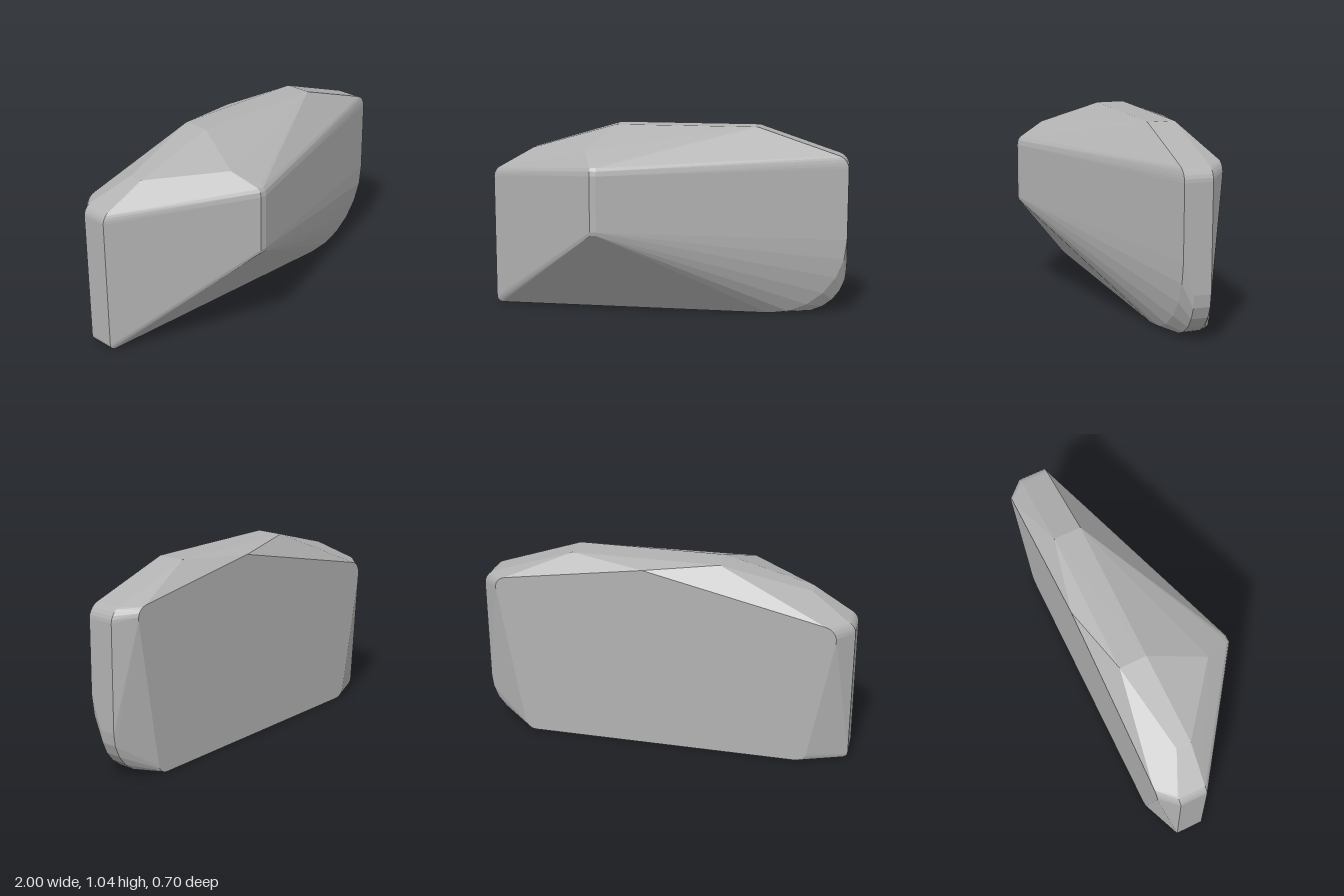
import * as THREE from 'three';
import { ConvexGeometry } from 'three/addons/geometries/ConvexGeometry.js';

// Outline at depth z; each corner is [x, y, fillet length, segments]
function outline(z, corners) {
  const out = [];
  corners.forEach(([x, y, t = 0, n = 5], i) => {
    const p = new THREE.Vector2(x, y);
    if (!t) { out.push(new THREE.Vector3(x, y, z)); return; }
    const toward = (c) => new THREE.Vector2(c[0], c[1]).sub(p).normalize();
    const a = toward(corners[(i + corners.length - 1) % corners.length]);
    const b = toward(corners[(i + 1) % corners.length]);
    for (let k = 0; k <= n; k++) {
      const ang = (k / n) * Math.PI / 2;
      const q = p.clone()
        .addScaledVector(a, t * (1 - Math.sin(ang)))
        .addScaledVector(b, t * (1 - Math.cos(ang)));
      out.push(new THREE.Vector3(q.x, q.y, z));
    }
  });
  return out;
}

// Rim outline with a chosen radius for the big lower corner
const rim = (z, radius) => outline(z, [
  [-1, 0, 0.035],
  [1, 0, radius, 6],
  [1, 0.878, 0.055],
  [0.5, 1.045],
  [-0.29, 1.045],
  [-1, 0.782, 0.045],
]);

export function createModel() {
  const points = [
    // Slanted back face
    ...outline(-0.35, [
      [-0.78, 0, 0.05], [0.77, 0, 0.05], [0.915, 0.893, 0.06],
      [0.1, 1.015], [-0.925, 0.78, 0.07],
    ]),
    // Rim band
    ...rim(-0.26, 0.26),
    ...rim(-0.17, 0.26),
    ...rim(-0.11, 0.43),
    // Upper shoulder
    new THREE.Vector3(-0.76, 0.91, -0.17),
    new THREE.Vector3(-0.76, 0.91, -0.09),
    new THREE.Vector3(-0.4, 0.935, 0.19),
  ];
  // Blunt front ridge, rounded over at both ends
  const ridge = [
    [0.487, 0.333], [0.5, 0.345], [0.52, 0.35],
    [0.82, 0.35], [0.845, 0.345], [0.862, 0.333], [0.873, 0.315],
  ];
  for (const [y, z] of ridge) {
    for (const x of [-0.343, -0.308]) points.push(new THREE.Vector3(x, y, z));
  }

  const stone = new THREE.MeshStandardMaterial({ color: 0xb2b2b2 });
  stone.name = 'plain grey';
  const body = new THREE.Mesh(new ConvexGeometry(points), stone);
  body.name = 'facetedBody';

  const group = new THREE.Group();
  group.name = 'facetedBlock';
  group.add(body);
  return group;
}
